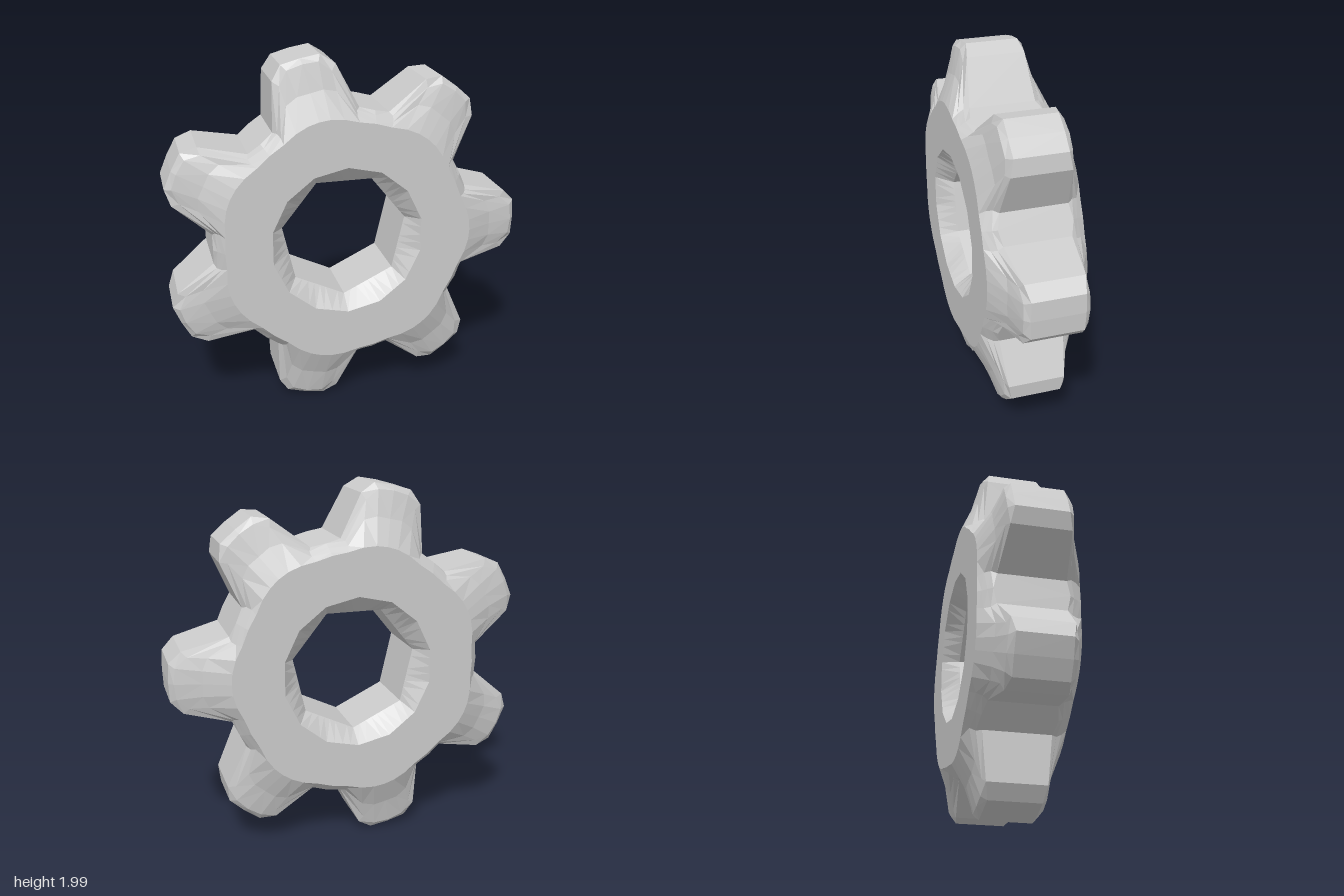
import * as THREE from 'three';

const TEETH = 7;
const PITCH = (Math.PI * 2) / TEETH;

// Half a tooth lying along +x: from the valley middle to the tooth axis.
// Each column lists [x, y, z] from the flat face edge out to the side wall.
const HALF_TOOTH = [
  [[0.595, 0.286, 0.265], [0.608, 0.293, 0.245], [0.626, 0.302, 0.22], [0.644, 0.31, 0.195]], // valley
  [[0.628, 0.204, 0.265], [0.655, 0.205, 0.235], [0.675, 0.215, 0.205], [0.68, 0.235, 0.178]], // tooth base
  [[0.665, 0.13, 0.265], [0.8, 0.135, 0.198], [0.9, 0.14, 0.17], [0.93, 0.17, 0.155]], // shoulder
  [[0.685, 0.06, 0.265], [0.83, 0.07, 0.203], [0.965, 0.085, 0.167], [0.995, 0.105, 0.138]], // tip corner
  [[0.69, 0, 0.265], [0.83, 0, 0.205], [0.975, 0, 0.17], [1.0, 0, 0.14]], // tooth axis
];

// Radius of a regular polygon at an angle, with one vertex at angle `phase`
function polygonRadius(angle, sides, radius, phase) {
  const step = (Math.PI * 2) / sides;
  const a = (((angle - phase) % step) + step) % step;
  return (radius * Math.cos(step / 2)) / Math.cos(a - step / 2);
}

// One closed cross-section of the gear: front bore edge, face, rim, back, bore
function crossSection(tooth, column) {
  const mirrored = column <= 4;
  const half = HALF_TOOTH[mirrored ? column : 8 - column];
  const turn = tooth * PITCH;
  const c = Math.cos(turn), s = Math.sin(turn);
  const front = half.map(([x, y, z]) => {
    const v = mirrored ? -y : y;
    return [x * c - v * s, x * s + v * c, z];
  });

  // Bore: 14-sided at the faces, tapering to a heptagon inside
  const angle = turn + (column / 8 - 0.5) * PITCH;
  const bore = (sides, radius, z) => {
    const r = polygonRadius(angle, sides, radius, PITCH / 4);
    return [r * Math.cos(angle), r * Math.sin(angle), z];
  };
  front.unshift(bore(7, 0.35, 0.17), bore(14, 0.418, 0.265));
  const back = front.map(([x, y, z]) => [x, y, -z]).reverse();
  return [...front, ...back];
}

function gearGeometry() {
  const sections = [];
  for (let t = 0; t < TEETH; t++) {
    for (let k = 0; k < 8; k++) sections.push(crossSection(t, k));
  }
  const n = sections[0].length;
  const index = [];
  for (let i = 0; i < sections.length; i++) {
    const next = (i + 1) % sections.length;
    for (let j = 0; j < n; j++) {
      const k = (j + 1) % n;
      const a = i * n + j, b = i * n + k, d = next * n + j, e = next * n + k;
      // Flip the diagonal on alternate halves so each tooth is symmetric
      if (i % 8 < 4) index.push(a, b, e, a, e, d);
      else index.push(a, b, d, b, e, d);
    }
  }
  const geometry = new THREE.BufferGeometry();
  geometry.setAttribute('position', new THREE.Float32BufferAttribute(sections.flat(2), 3));
  geometry.setIndex(index);
  const faceted = geometry.toNonIndexed();
  faceted.computeVertexNormals();
  return faceted;
}

export function createModel() {
  const group = new THREE.Group();
  group.name = 'gear';
  const material = new THREE.MeshStandardMaterial({ color: 0xcccccc, flatShading: true });
  const gear = new THREE.Mesh(gearGeometry(), material);
  gear.name = 'gearWheel';
  gear.position.set(-0.03, 1, 0);
  group.add(gear);
  return group;
}
